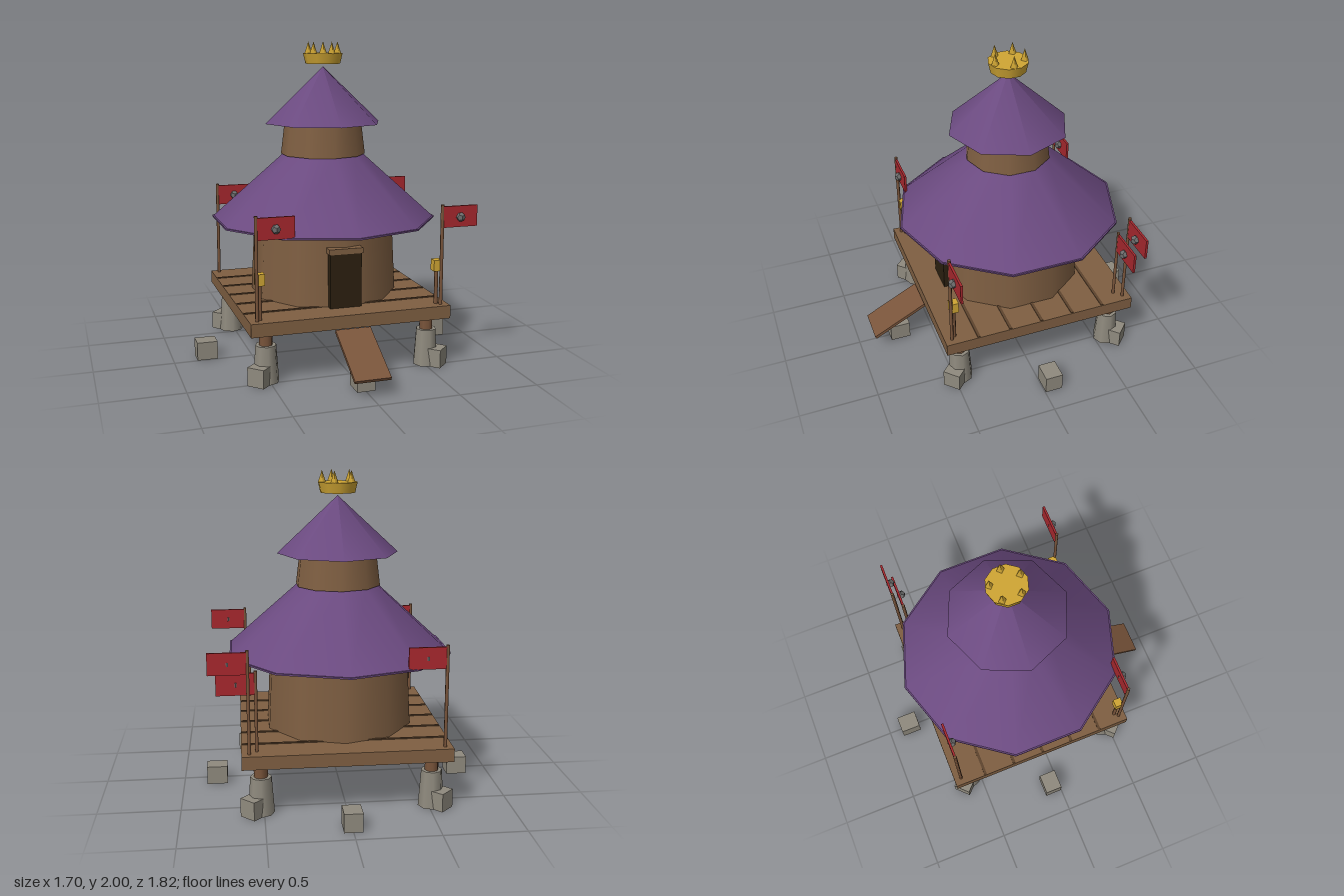
import * as THREE from 'three';

const material = (name, color) => {
  const m = new THREE.MeshStandardMaterial({ color });
  m.name = name;
  return m;
};

export function createModel() {
  const model = new THREE.Group();
  model.name = 'stiltPavilion';
  const wood = material('wood', 0x7f5f42);
  const postWood = material('post wood', 0x7a553b);
  const plankWood = material('dark plank wood', 0x5e442d);
  const doorDark = material('door dark', 0x2c2010);
  const purple = material('purple roof', 0x6b4a80);
  const gold = material('gold', 0xd0a634);
  const stone = material('stone', 0x8f8a7e);
  const red = material('red cloth', 0xa8282e);
  const iron = material('iron grey', 0x6c6c6c);

  const CZ = -0.06; // axis of the hut

  function add(name, geometry, mat, x, y, z, parent = model) {
    const mesh = new THREE.Mesh(geometry, mat);
    mesh.name = name;
    mesh.position.set(x, y, z);
    parent.add(mesh);
    return mesh;
  }
  const box = (name, mat, w, h, d, x, y, z, parent) =>
    add(name, new THREE.BoxGeometry(w, h, d), mat, x, y, z, parent);
  // Tapered prism standing between heights y0 and y1
  const drum = (name, mat, rTop, rBottom, y0, y1, sides, x = 0, z = CZ, parent = model) =>
    add(name, new THREE.CylinderGeometry(rTop, rBottom, y1 - y0, sides), mat, x, (y0 + y1) / 2, z, parent);

  // Deck with thin plank seams
  box('deck', wood, 1.26, 0.082, 1.26, 0, 0.357, CZ);
  for (let i = -2; i <= 2; i++) box('plankSeam', plankWood, 1.25, 0.006, 0.018, 0, 0.4, CZ + i * 0.21);

  // Legs on stone footings
  for (const sx of [-1, 1]) {
    for (const sz of [-1, 1]) {
      const x = sx * 0.517, z = CZ + sz * 0.517;
      drum('legPost', postWood, 0.042, 0.042, 0.2, 0.32, 8, x, z);
      drum('legFooting', stone, 0.064, 0.08, 0, 0.23, 8, x, z);
    }
  }

  // Ring of loose stones
  for (let i = 0; i < 8; i++) {
    const a = (i * Math.PI) / 4;
    const block = box('ringStone', stone, 0.112, 0.115, 0.13,
      Math.sin(a) * 0.787, 0.0575, CZ + Math.cos(a) * 0.787);
    block.rotation.y = a;
  }

  // Two storeys and their roofs
  drum('lowerWall', wood, 0.447, 0.472, 0.395, 0.885, 10);
  drum('lowerEave', purple, 0.722, 0.722, 0.873, 0.883, 10);
  drum('lowerRoof', purple, 0.255, 0.712, 0.883, 1.292, 10);
  drum('upperWall', wood, 0.245, 0.27, 1.29, 1.495, 10);
  add('upperRoof', new THREE.ConeGeometry(0.38, 0.355, 8), purple, 0, 1.6675, CZ);

  // Crown finial with five spikes
  drum('crownBand', gold, 0.125, 0.11, 1.862, 1.927, 10);
  for (let i = 0; i < 5; i++) {
    const a = (i * Math.PI * 2) / 5;
    add('crownSpike', new THREE.ConeGeometry(0.025, 0.075, 4), gold,
      Math.cos(a) * 0.097, 1.9625, CZ + Math.sin(a) * 0.097);
  }

  // Door, lintel and ramp
  box('door', doorDark, 0.2, 0.34, 0.09, 0, 0.567, 0.374);
  box('doorLintel', wood, 0.216, 0.034, 0.1, 0, 0.752, 0.374);
  const ramp = box('ramp', postWood, 0.222, 0.02, 0.405, 0, 0.205, 0.728);
  ramp.rotation.x = 0.485;

  // Flags: pole, cloth and a round boss at the middle of the cloth
  function flag(x, z, top) {
    const g = new THREE.Group();
    g.name = 'flag';
    g.position.set(x, 0, z);
    drum('flagPole', postWood, 0.011, 0.011, 0.39, top, 6, 0, 0, g);
    box('flagCloth', red, 0.225, 0.132, 0.014, 0.118, top - 0.077, 0, g);
    add('flagBoss', new THREE.DodecahedronGeometry(0.029), iron, 0.115, top - 0.08, 0.016, g);
    model.add(g);
  }
  for (const x of [-0.583, 0.583]) for (const z of [0.523, -0.643]) flag(x, z, 1.025);
  flag(0.538, -0.6, 0.89);

  // Lantern posts at the front corners
  for (const x of [-0.56, 0.56]) {
    drum('lanternPost', postWood, 0.012, 0.012, 0.39, 0.62, 6, x, 0.5);
    box('lantern', gold, 0.052, 0.07, 0.052, x, 0.645, 0.5);
  }
  return model;
}
